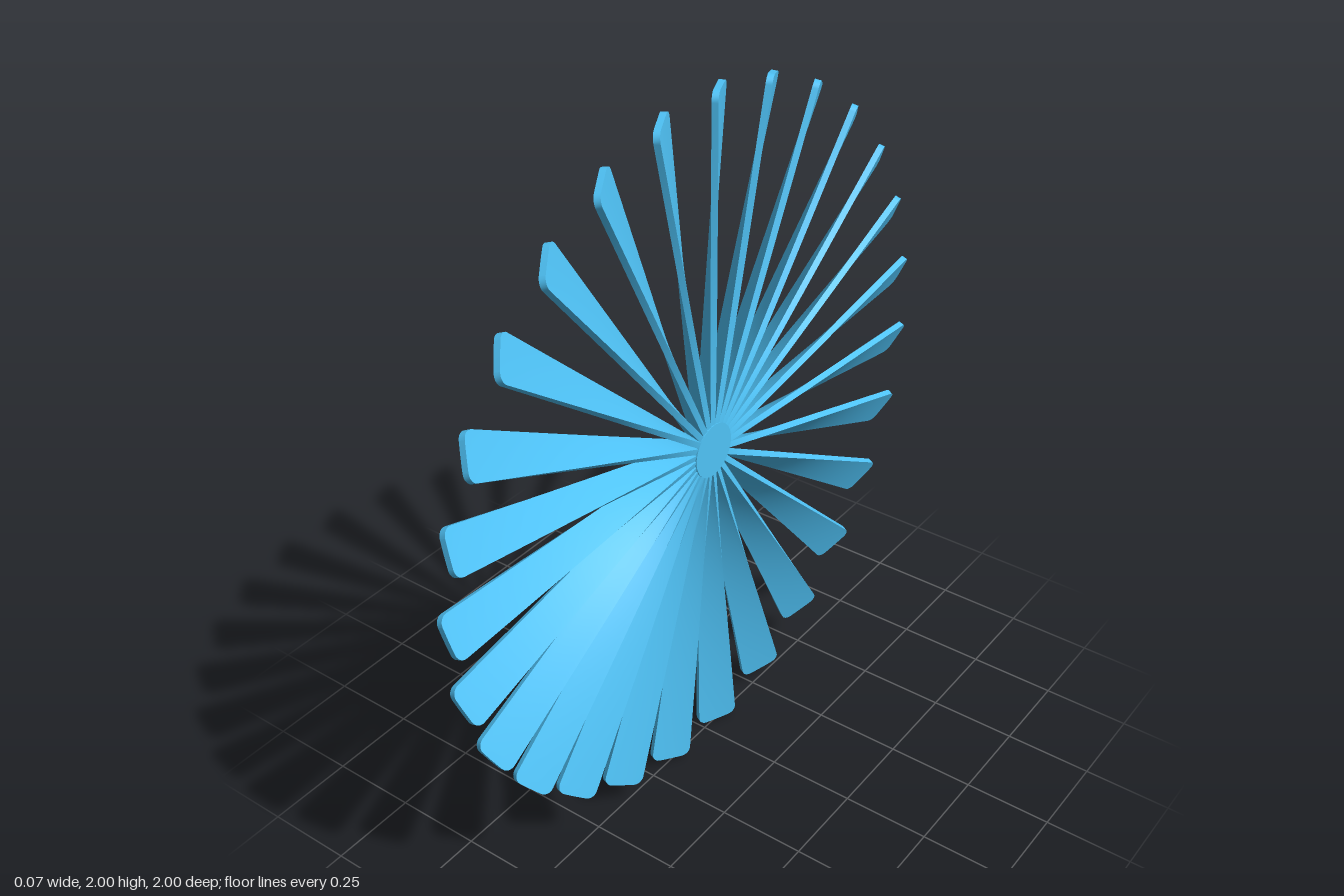
import * as THREE from 'three';

const BLADES = 27;
const ROOT = 0.04, TIP = 1, CORNER = 0.025;
const HALF_WIDTH = 0.055, HALF_DEPTH = 0.027, THICKNESS = 0.017;

// Twisted blade along +z: a box whose sections widen and flatten towards the tip
function bladeGeometry() {
  const straight = 18, round = 6;
  const geo = new THREE.BoxGeometry(1, 1, 1, 1, 6, straight + round);
  const pos = geo.attributes.position;
  for (let i = 0; i < pos.count; i++) {
    const side = pos.getX(i), c = pos.getY(i) * 2;
    const k = Math.round((pos.getZ(i) + 0.5) * (straight + round));
    let r, inset = 0;
    if (k <= straight) {
      r = THREE.MathUtils.lerp(ROOT, TIP - CORNER, k / straight);
    } else {
      // rounded tip corners
      const a = ((k - straight) / round) * Math.PI / 2;
      r = TIP - CORNER + CORNER * Math.sin(a);
      inset = CORNER * (1 - Math.cos(a));
    }
    const width = HALF_WIDTH * r, len = Math.hypot(width, HALF_DEPTH);
    const s = c * (1 - inset / len);
    const t = side * THICKNESS / len;
    const y = width * s + HALF_DEPTH * t;
    // the tip follows the rim of the wheel
    pos.setXYZ(i, -HALF_DEPTH * s + width * t, y, Math.sqrt(Math.max(r * r - y * y, 0)));
  }
  geo.computeVertexNormals();
  return geo;
}

export function createModel() {
  const group = new THREE.Group();
  const material = new THREE.MeshStandardMaterial({ color: 0x4fc3f7 });

  // Ring of blades around the x axis
  const wheel = new THREE.Group();
  wheel.name = 'fanWheel';
  wheel.position.y = 1;
  group.add(wheel);
  const blade = bladeGeometry();
  for (let i = 0; i < BLADES; i++) {
    const mesh = new THREE.Mesh(blade, material);
    mesh.name = 'blade';
    mesh.rotation.x = (i / BLADES) * Math.PI * 2;
    wheel.add(mesh);
  }

  // Hub disc and the small boss behind it
  const addDisc = (name, radius, x0, x1) => {
    const geo = new THREE.CylinderGeometry(radius, radius, x1 - x0, 48).rotateZ(Math.PI / 2);
    const mesh = new THREE.Mesh(geo, material);
    mesh.name = name;
    mesh.position.x = (x0 + x1) / 2;
    wheel.add(mesh);
  };
  addDisc('hub', 0.078, -0.03, 0.03);
  addDisc('hubBoss', 0.018, -0.04, -0.03);

  return group;
}
